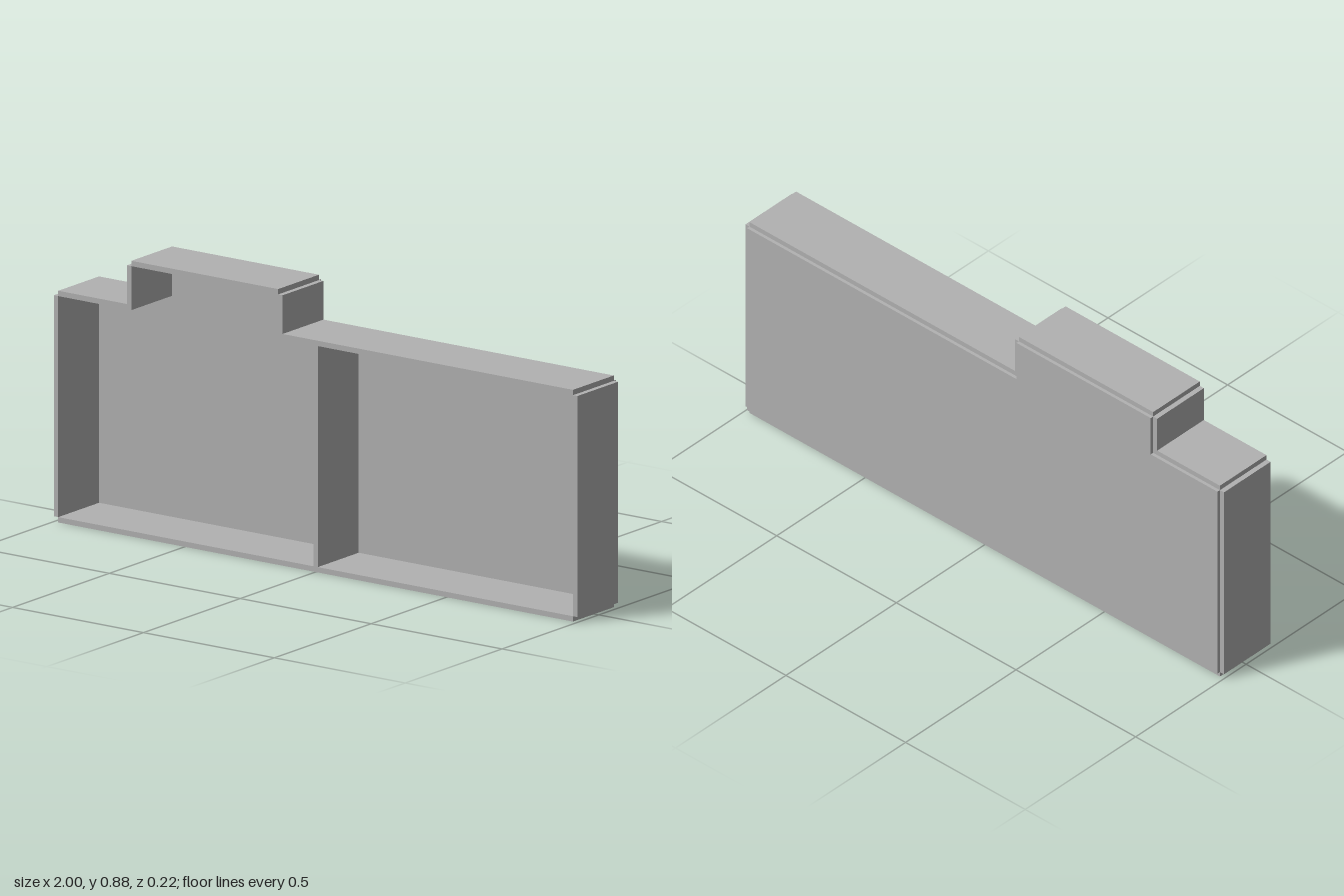
import * as THREE from 'three';

export function createModel() {
  const group = new THREE.Group();
  const grey = new THREE.MeshStandardMaterial({ color: 0xb2b2b2 });
  grey.name = 'grey board';

  const T = 0.017;                  // board thickness
  const FRONT = 0.111, BACK = -0.1, REAR = -0.111;
  const W = 1 - T;                  // inner half width
  const LOW = 0.72, HIGH = 0.86;    // inner heights of the low and raised tops
  const L = -0.704, R = -0.143;     // inner sides of the raised section

  // A board running the full depth, given by its front rectangle
  function board(name, x0, x1, y0, y1) {
    const mesh = new THREE.Mesh(new THREE.BoxGeometry(x1 - x0, y1 - y0, FRONT - BACK), grey);
    mesh.position.set((x0 + x1) / 2, (y0 + y1) / 2, (FRONT + BACK) / 2);
    mesh.name = name;
    group.add(mesh);
  }

  board('bottomBoard', -W, W, 0, T);
  board('rightSide', -1, -W, T, LOW);
  board('leftSide', W, 1, T, LOW);
  board('divider', -T / 2, T / 2, T, LOW);
  board('lowTopRight', -W, L, LOW, LOW + T);
  board('lowTopLeft', R, W, LOW, LOW + T);
  board('raisedSideRight', L - T, L, LOW + T, HIGH);
  board('raisedSideLeft', R, R + T, LOW + T, HIGH);
  board('raisedTop', L, R, HIGH, HIGH + T);

  // Stepped panel fixed behind the boards
  const outline = [[-W, T], [W, T], [W, LOW], [R, LOW], [R, HIGH], [L, HIGH], [L, LOW], [-W, LOW]];
  const shape = new THREE.Shape(outline.map(([x, y]) => new THREE.Vector2(x, y)));
  const panel = new THREE.Mesh(
    new THREE.ExtrudeGeometry(shape, { depth: BACK - REAR, bevelEnabled: false }), grey);
  panel.position.z = REAR;
  panel.name = 'backPanel';
  group.add(panel);

  return group;
}
